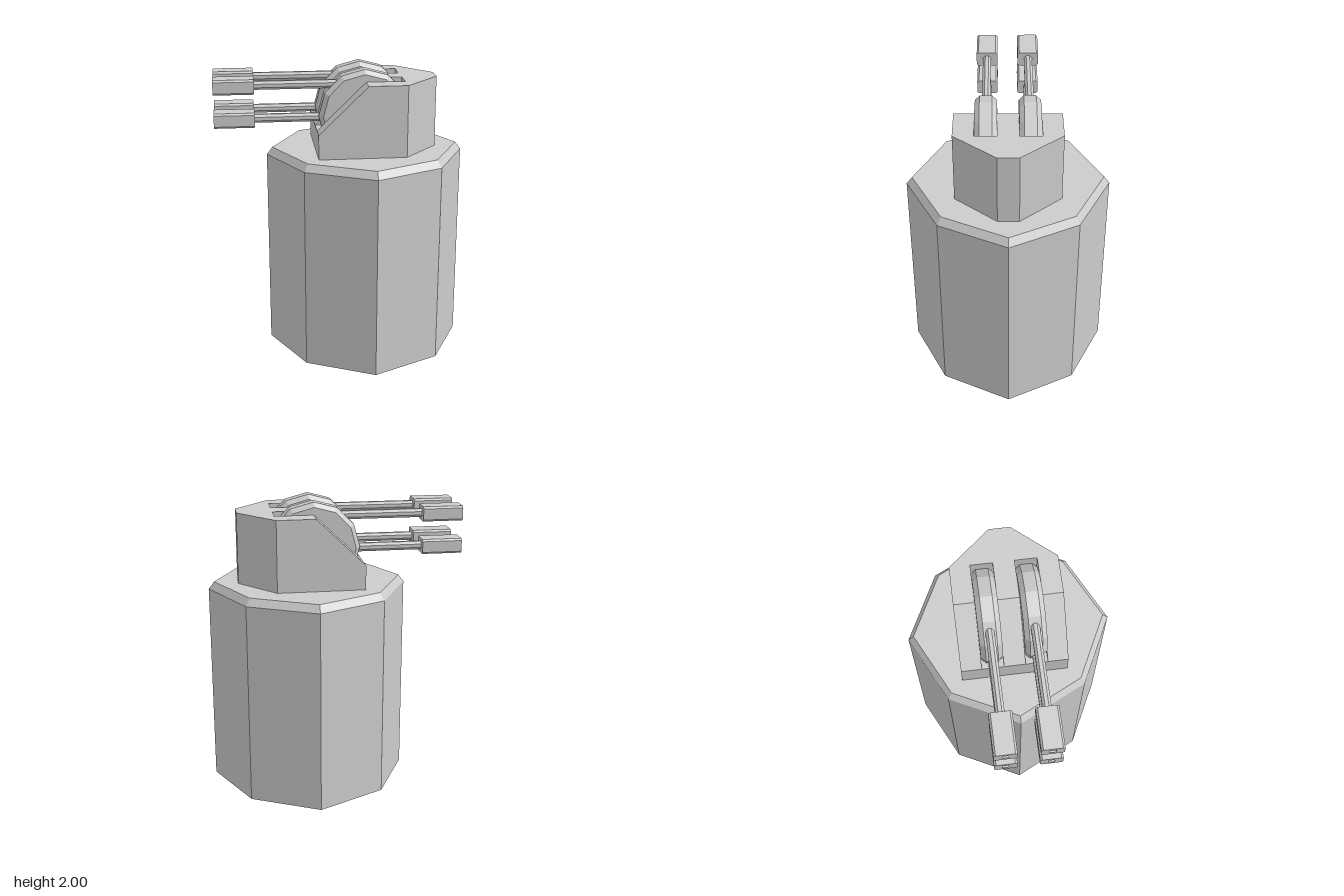
import * as THREE from 'three';

const material = new THREE.MeshStandardMaterial({ color: 0xcccccc, flatShading: true, side: THREE.DoubleSide });

const DECK = 1.435, ROOF = 1.92, FLOOR = 1.6; // turret base, top and slot floor heights
const SLOT_IN = 0.07, SLOT_OUT = 0.215, SLOT_MID = 0.1425;

function add(parent, name, geometry, x = 0, y = 0, z = 0) {
  const mesh = new THREE.Mesh(geometry, material);
  mesh.name = name;
  mesh.position.set(x, y, z);
  parent.add(mesh);
  return mesh;
}

const points = (list) => list.map(([x, y]) => new THREE.Vector2(x, y));
const extrude = (shape, depth) => new THREE.ExtrudeGeometry(shape, { depth, bevelEnabled: false });

// Eight-sided tower, open underneath, with its diagonal corners pulled in slightly
function towerGeometry() {
  const profile = points([[0.68, 0], [0.68, 1.385], [0.642, DECK], [0, DECK]]);
  const geometry = new THREE.LatheGeometry(profile, 8).toNonIndexed();
  const p = geometry.attributes.position;
  for (let i = 0; i < p.count; i++) {
    const x = p.getX(i), z = p.getZ(i);
    if (Math.abs(x) > 0.01 && Math.abs(z) > 0.01) p.setXYZ(i, x * 0.946, p.getY(i), z * 0.946);
  }
  geometry.computeVertexNormals();
  return geometry;
}

// Twelve-sided bevelled wheel, cut flat below the slot floor
function wheelGeometry() {
  const w = 0.072;
  const profile = points([[0, -w], [0.28, -w], [0.31, -0.04], [0.31, 0.04], [0.28, w], [0, w]]);
  const geometry = new THREE.LatheGeometry(profile, 12).rotateX(Math.PI / 2);
  const p = geometry.attributes.position;
  for (let i = 0; i < p.count; i++) p.setY(i, Math.max(p.getY(i), -0.19));
  return geometry;
}

// Chamfered muzzle block with a square bore, running along x
function muzzleGeometry() {
  const w = 0.0725, h = 0.05, c = 0.013, b = 0.02;
  const shape = new THREE.Shape(points([
    [-w + c, -h], [w - c, -h], [w, -h + c], [w, h - c],
    [w - c, h], [-w + c, h], [-w, h - c], [-w, -h + c],
  ]));
  shape.holes.push(new THREE.Path(points([[-b, -b], [-b, b], [b, b], [b, -b]])));
  return extrude(shape, 0.27).rotateY(Math.PI / 2);
}

function createTurret() {
  const turret = new THREE.Group();
  turret.name = 'turret';

  // Sloped cheeks either side of the two slots
  const cheek = new THREE.Shape(points([
    [-0.18, DECK], [0.41, DECK], [0.41, ROOF], [0.15, ROOF], [-0.18, FLOOR],
  ]));
  const slices = [['leftCheek', SLOT_OUT, 0.35], ['middleCheek', -SLOT_IN, SLOT_IN], ['rightCheek', -0.35, -SLOT_OUT]];
  for (const [name, z0, z1] of slices) add(turret, name, extrude(cheek, z1 - z0), 0, 0, z0);

  // Tapered rear block
  const rear = new THREE.Shape(points([[0.41, -0.35], [0.65, -0.07], [0.65, 0.07], [0.41, 0.35]]));
  add(turret, 'turretRear', extrude(rear, ROOF - DECK).rotateX(-Math.PI / 2), 0, DECK, 0);

  // Slot floors
  for (const side of [-1, 1]) {
    const floor = new THREE.BoxGeometry(0.59, FLOOR - DECK, SLOT_OUT - SLOT_IN);
    add(turret, 'slotFloor', floor, 0.115, (FLOOR + DECK) / 2, side * SLOT_MID);
  }
  return turret;
}

// One wheel carrying an upper and a lower barrel
function createGunPair(side) {
  const pair = new THREE.Group();
  pair.name = side > 0 ? 'leftGunPair' : 'rightGunPair';
  pair.position.z = side * SLOT_MID;
  add(pair, 'gunWheel', wheelGeometry(), 0.145, 1.69, 0);

  for (const [level, y, end] of [['upper', 1.901, -0.04], ['lower', 1.678, -0.1]]) {
    const length = end + 0.59;
    const barrel = new THREE.CylinderGeometry(0.0305, 0.0305, length, 8).rotateY(Math.PI / 8).rotateZ(Math.PI / 2);
    add(pair, level + 'Barrel', barrel, end - length / 2, y, 0);
    add(pair, level + 'Muzzle', muzzleGeometry(), -0.86, y, 0);
  }
  return pair;
}

export function createModel() {
  const model = new THREE.Group();
  model.name = 'gunTower';
  add(model, 'tower', towerGeometry(), 0.17, 0, 0);
  model.add(createTurret(), createGunPair(1), createGunPair(-1));
  return model;
}
